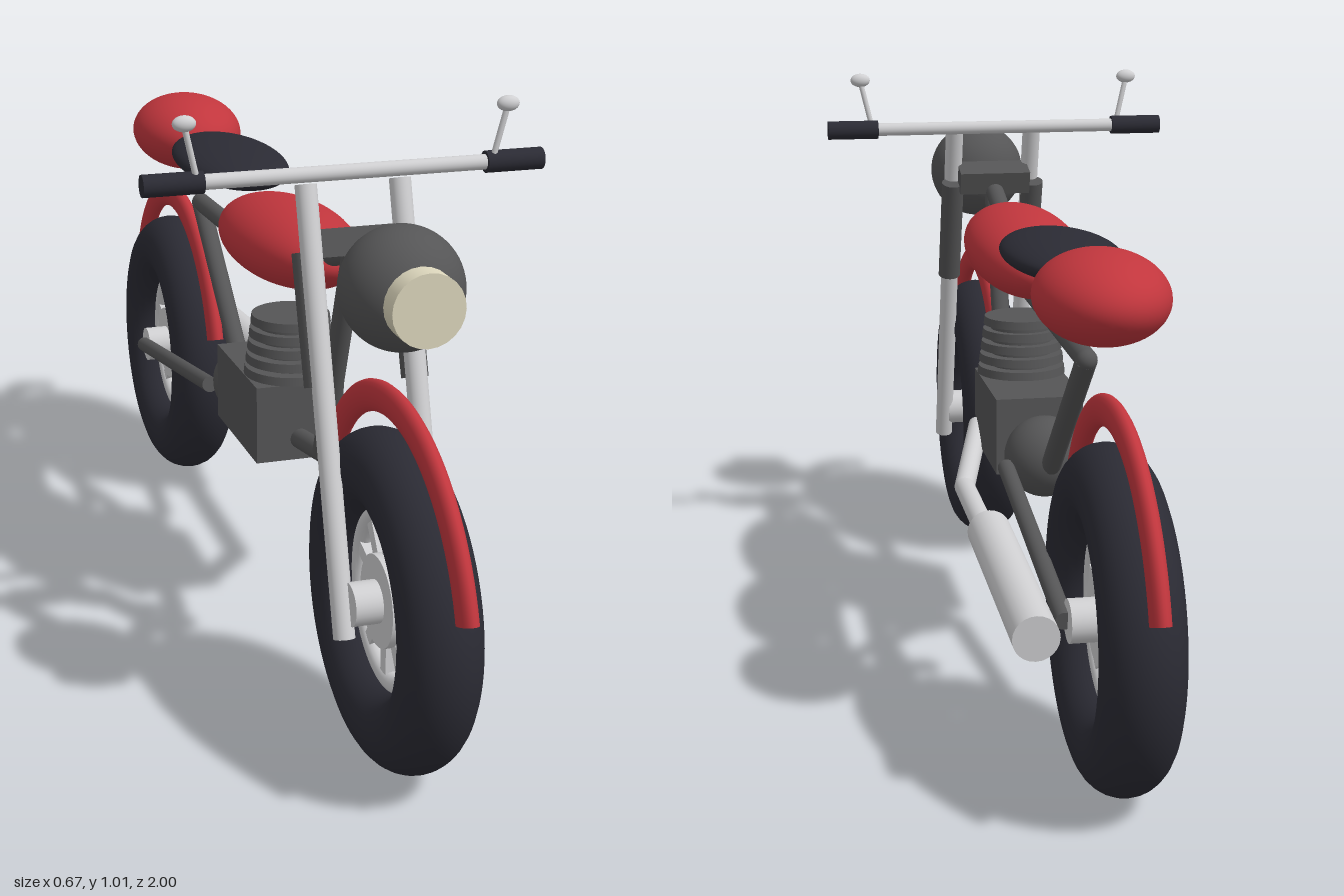
import * as THREE from 'three';

const mat = (name, color) => {
  const m = new THREE.MeshStandardMaterial({ color });
  m.name = name;
  return m;
};

export function createModel() {
  const red = mat('red paint', 0xc1363d);
  const rubber = mat('black rubber', 0x2b2b34);
  const iron = mat('dark iron', 0x555556);
  const silver = mat('silver', 0xcfcfd1);
  const cream = mat('cream glass', 0xdcd6bc);
  const bike = new THREE.Group();
  const V = (x, y, z) => new THREE.Vector3(x, y, z);

  const add = (name, geo, m, pos = [0, 0, 0], parent = bike) => {
    const mesh = new THREE.Mesh(geo, m);
    mesh.name = name;
    mesh.position.set(...pos);
    parent.add(mesh);
    return mesh;
  };
  // Round rod between two points
  const rod = (name, a, b, r, m, parent = bike) => {
    const p = V(...a), q = V(...b), d = q.clone().sub(p);
    const mesh = add(name, new THREE.CylinderGeometry(r, r, d.length(), 24), m,
      p.clone().add(q).multiplyScalar(0.5).toArray(), parent);
    mesh.quaternion.setFromUnitVectors(V(0, 1, 0), d.normalize());
    return mesh;
  };
  // Rods through a list of points, with ball joints at the bends
  const pipe = (name, pts, r, m) => {
    const g = new THREE.Group();
    g.name = name;
    bike.add(g);
    pts.slice(1).forEach((p, i) => {
      rod(name + 'Section', pts[i], p, r, m, g);
      if (i < pts.length - 2) add(name + 'Bend', new THREE.SphereGeometry(r, 20, 12), m, p, g);
    });
  };
  const ellipsoid = (name, radii, pos, m) => {
    const mesh = add(name, new THREE.SphereGeometry(1, 48, 32), m, pos);
    mesh.scale.set(...radii);
    return mesh;
  };

  // Wheels and fenders
  const wheelY = 0.278, wheelZ = 0.67;
  for (const [side, z] of [['front', wheelZ], ['rear', -wheelZ]]) {
    const wheel = new THREE.Group();
    wheel.name = side + 'Wheel';
    wheel.position.set(0, wheelY, z);
    wheel.rotation.y = Math.PI / 2;
    bike.add(wheel);
    const part = (name, geo, m) => add(name, geo, m, [0, 0, 0], wheel);
    part('tyre', new THREE.TorusGeometry(0.208, 0.065, 28, 72), rubber);
    part('rim', new THREE.TorusGeometry(0.138, 0.017, 16, 60), silver);
    part('hub', new THREE.CylinderGeometry(0.075, 0.075, 0.05, 40), silver).rotation.x = Math.PI / 2;
    part('axle', new THREE.CylinderGeometry(0.035, 0.035, 0.14, 28), silver).rotation.x = Math.PI / 2;
    for (let i = 0; i < 10; i++) {
      const spoke = part('spoke', new THREE.BoxGeometry(0.08, 0.024, 0.024).translate(0.1, 0, 0), silver);
      spoke.rotation.z = (i + 0.5) * Math.PI / 5;
    }
    // Flattened arc following the tyre
    const arc = Math.PI * 0.8;
    const fenderGeo = new THREE.TorusGeometry(0.322, 0.026, 20, 60, arc);
    fenderGeo.rotateZ((Math.PI - arc) / 2).scale(1, 1, 0.6);
    part(side + 'Fender', fenderGeo, red);
    for (const s of [-1, 1]) {
      const cap = add(side + 'FenderEnd', new THREE.CircleGeometry(0.026, 20), red,
        [s * 0.322 * Math.cos(0.1 * Math.PI), 0.322 * Math.sin(0.1 * Math.PI), 0], wheel);
      cap.rotation.set(Math.PI / 2, s * 0.1 * Math.PI, 0);
      cap.scale.y = 0.6;
    }
  }

  // Front fork, swingarm, handlebar ends and mirrors on both sides
  for (const s of [1, -1]) {
    const side = s > 0 ? 'left' : 'right';
    const x = s * 0.078;
    rod(side + 'ForkLeg', [x, 0.222, 0.672], [x, 0.902, 0.462], 0.0175, silver);
    rod(side + 'ForkSleeve', [s * 0.081, 0.595, 0.54], [s * 0.081, 0.795, 0.472], 0.022, iron);
    rod(side + 'Swingarm', [s * 0.075, 0.37, -0.13], [s * 0.075, wheelY, -wheelZ], 0.015, iron);
    rod(side + 'Grip', [s * 0.235, 0.91, 0.432], [s * 0.333, 0.91, 0.432], 0.018, rubber);
    rod(side + 'MirrorStalk', [s * 0.246, 0.915, 0.437], [s * 0.266, 1.0, 0.442], 0.005, silver);
    ellipsoid(side + 'Mirror', [0.019, 0.013, 0.012], [s * 0.267, 1.006, 0.443], silver);
  }
  rod('handlebar', [-0.25, 0.91, 0.432], [0.25, 0.91, 0.432], 0.0125, silver);
  add('forkYoke', new THREE.BoxGeometry(0.14, 0.045, 0.06), iron, [0, 0.805, 0.465]).rotation.x = -0.3;

  // Headlight
  ellipsoid('headlight', [0.096, 0.096, 0.096], [0, 0.792, 0.685], iron);
  rod('headlightLens', [0, 0.79, 0.755], [0, 0.79, 0.8], 0.057, cream);

  // Frame
  pipe('frameTop', [[0, 0.785, 0.465], [0, 0.655, 0.03], [0, 0.64, -0.465], [0, 0.375, -0.16]], 0.018, iron);
  pipe('frameFront', [[0, 0.785, 0.465], [0, 0.395, 0.325], [0, 0.365, 0.15]], 0.018, iron);

  // Tank, saddle and tail
  ellipsoid('tank', [0.104, 0.071, 0.256], [0, 0.718, 0.122], red).rotation.x = -0.06;
  ellipsoid('saddle', [0.1, 0.033, 0.21], [0, 0.775, -0.25], rubber);
  ellipsoid('tail', [0.107, 0.074, 0.145], [0, 0.765, -0.572], red);

  // Engine with finned cylinder
  add('engineBlock', new THREE.BoxGeometry(0.16, 0.14, 0.255), iron, [0, 0.405, 0.072]);
  add('gearbox', new THREE.SphereGeometry(0.073, 36, 24), iron, [0, 0.38, -0.105]);
  rod('cylinderCore', [0, 0.47, 0.14], [0, 0.585, 0.14], 0.058, iron);
  for (let i = 0; i < 5; i++) {
    const r = 0.083 - i * 0.003;
    add('coolingFin', new THREE.CylinderGeometry(r - 0.002, r, 0.015, 40), iron, [0, 0.487 + i * 0.0235, 0.14]);
  }

  // Exhaust on the left side
  pipe('exhaustPipe', [[0.075, 0.365, 0.19], [0.125, 0.286, 0.04], [0.13, 0.286, -0.3]], 0.019, silver);
  rod('muffler', [0.135, 0.313, -0.312], [0.135, 0.286, -0.757], 0.037, silver);

  return bike;
}
